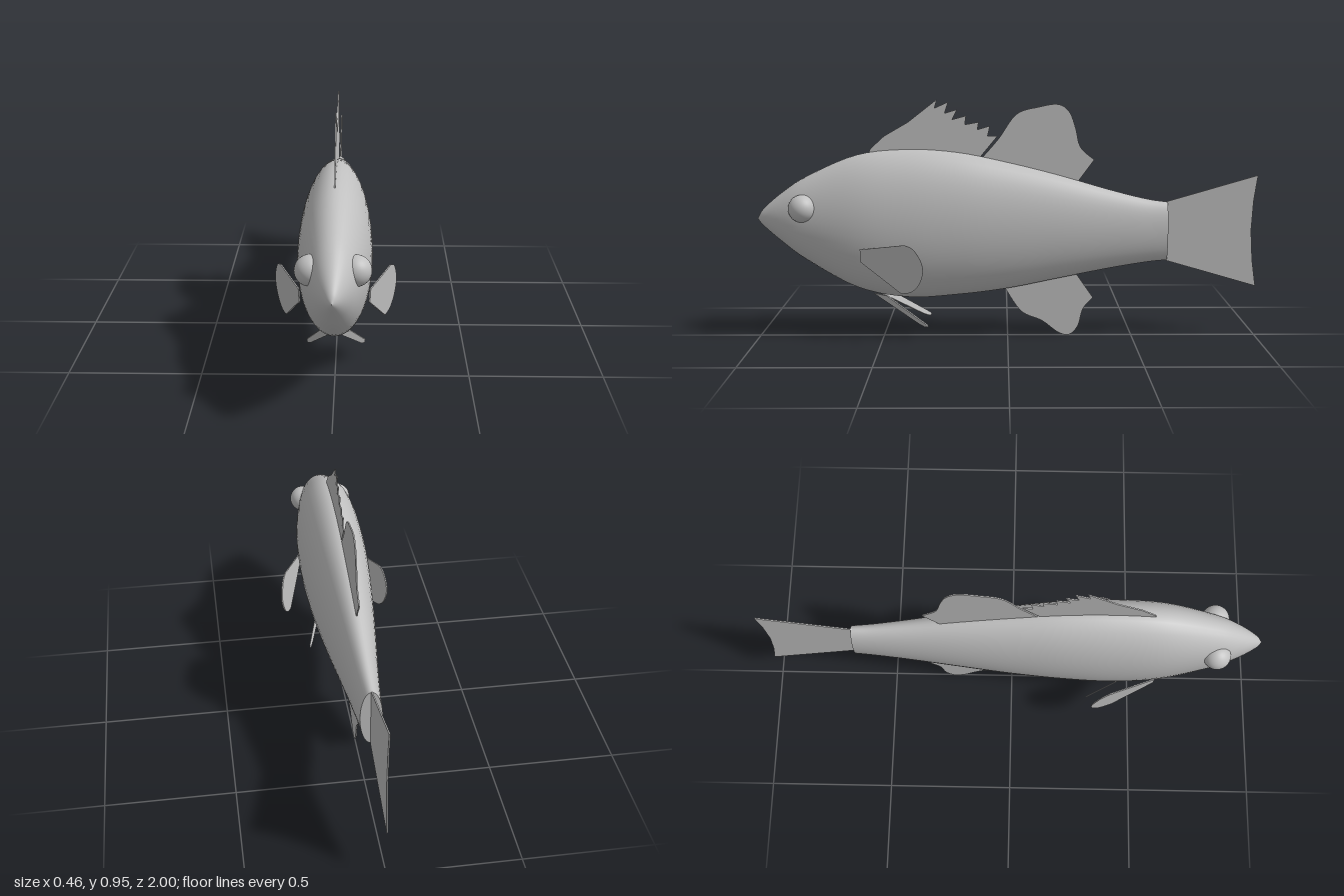
import * as THREE from 'three';

const grey = new THREE.MeshStandardMaterial({ color: 0xc0c0c0, side: THREE.DoubleSide });
grey.name = 'plain grey';

function add(parent, name, geometry) {
  const mesh = new THREE.Mesh(geometry, grey);
  mesh.name = name;
  parent.add(mesh);
  return mesh;
}

// Body stations: z, top, bottom, half width
const STATIONS = [
  [1.0, 0.48, 0.48, 0], [0.975, 0.52, 0.45, 0.025], [0.9, 0.585, 0.385, 0.064],
  [0.8, 0.65, 0.31, 0.096], [0.6, 0.735, 0.2, 0.131], [0.4, 0.757, 0.16, 0.138],
  [0.2, 0.745, 0.17, 0.13], [0, 0.705, 0.195, 0.112], [-0.2, 0.655, 0.235, 0.09],
  [-0.4, 0.597, 0.275, 0.066], [-0.55, 0.559, 0.3, 0.05], [-0.64, 0.545, 0.31, 0.042],
];

// Oval cross-sections lofted along a smooth curve through the stations
function bodyGeometry(rings = 55, sides = 40) {
  const curve = (f) => new THREE.CatmullRomCurve3(STATIONS.map(f), false, 'catmullrom', 0.5);
  const profile = curve((s) => new THREE.Vector3(s[0], s[1], s[2]));
  const width = curve((s) => new THREE.Vector3(s[3], 0, 0));
  const positions = [], index = [];
  for (let i = 0; i <= rings; i++) {
    const p = profile.getPoint(i / rings), w = width.getPoint(i / rings).x;
    for (let j = 0; j < sides; j++) {
      const a = (j / sides) * Math.PI * 2;
      positions.push(w * Math.sin(a), (p.y + p.z) / 2 + ((p.y - p.z) / 2) * Math.cos(a), p.x);
      if (i === rings) continue;
      const k = (j + 1) % sides, r = i * sides, s = r + sides;
      index.push(r + j, r + k, s + j, r + k, s + k, s + j);
    }
  }
  // Keep the winding outward
  for (let i = 0; i < index.length; i += 3) [index[i + 1], index[i + 2]] = [index[i + 2], index[i + 1]];
  const g = new THREE.BufferGeometry();
  g.setAttribute('position', new THREE.Float32BufferAttribute(positions, 3));
  g.setIndex(index);
  g.computeVertexNormals();
  return g;
}

// Thin plate from an outline; "curved" points are joined by a spline.
// place(u, v, w) moves each vertex, with w running across the thickness.
function finGeometry({ start, curved = [], straight = [] }, place) {
  const shape = new THREE.Shape();
  shape.moveTo(...start);
  if (curved.length) {
    shape.lineTo(...curved[0]);
    shape.splineThru(curved.slice(1).map((p) => new THREE.Vector2(...p)));
  }
  straight.forEach((p) => shape.lineTo(...p));
  const depth = 0.005;
  const g = new THREE.ExtrudeGeometry(shape, { depth, bevelEnabled: false, curveSegments: 5 });
  const pos = g.attributes.position;
  for (let i = 0; i < pos.count; i++) {
    pos.setXYZ(i, ...place(pos.getX(i), pos.getY(i), pos.getZ(i) - depth / 2));
  }
  g.computeVertexNormals();
  return g;
}

const upright = (z, y, w) => [-w, y, z];

// Outlines of the middle fins as (z, y)
const MIDDLE_FINS = {
  spinyDorsalFin: {
    start: [0.555, 0.735],
    straight: [[0.545, 0.76], [0.49, 0.81], [0.395, 0.865], [0.28, 0.955], [0.29, 0.92], [0.235, 0.945],
      [0.25, 0.9], [0.2, 0.915], [0.22, 0.875], [0.165, 0.89], [0.17, 0.855], [0.115, 0.865],
      [0.12, 0.835], [0.07, 0.85], [0.08, 0.81], [0.04, 0.81], [0.11, 0.725], [0.11, 0.68], [0.5, 0.7]],
  },
  softDorsalFin: {
    start: [0.1, 0.68],
    curved: [[0.1, 0.725], [0.035, 0.8], [-0.035, 0.896], [-0.125, 0.925], [-0.2, 0.935], [-0.245, 0.905],
      [-0.27, 0.84], [-0.29, 0.765], [-0.345, 0.715]],
    straight: [[-0.26, 0.6]],
  },
  analFin: {
    start: [0.01, 0.24],
    curved: [[0.01, 0.195], [-0.055, 0.1], [-0.14, 0.06], [-0.205, 0.012], [-0.25, 0.003], [-0.285, 0.04],
      [-0.305, 0.11], [-0.345, 0.155]],
    straight: [[-0.265, 0.27]],
  },
  tailFin: {
    start: [-0.63, 0.31],
    straight: [[-0.63, 0.545], [-1, 0.652], [-0.985, 0.55], [-0.978, 0.43], [-0.985, 0.31], [-1, 0.203]],
  },
};

export function createModel() {
  const fish = new THREE.Group();
  fish.name = 'fish';

  add(fish, 'body', bodyGeometry());

  // Flat end of the body at the tail root
  const cap = add(fish, 'tailRootCap', new THREE.CircleGeometry(1, 40));
  cap.scale.set(0.042, 0.1175, 1);
  cap.rotation.y = Math.PI;
  cap.position.set(0, 0.4275, -0.64);

  for (const [name, outline] of Object.entries(MIDDLE_FINS)) {
    add(fish, name, finGeometry(outline, upright));
  }

  // Paired parts
  for (const side of [1, -1]) {
    const label = side > 0 ? 'left' : 'right';

    const eye = add(fish, label + 'Eye', new THREE.SphereGeometry(0.055, 32, 20));
    eye.position.set(side * 0.078, 0.53, 0.81);

    // Pectoral fin, swept back and outward
    add(fish, label + 'PectoralFin', finGeometry({
      start: [0.58, 0.375],
      curved: [[0.4, 0.405], [0.365, 0.39], [0.335, 0.345], [0.328, 0.3], [0.345, 0.25], [0.375, 0.22], [0.415, 0.21]],
      straight: [[0.578, 0.325]],
    }, (z, y, w) => [side * (0.135 + (0.55 - z) * 0.41 + (y - 0.3) * 0.07 + w), y, z]));

    // Pelvic fin, a narrow blade under the belly
    add(fish, label + 'PelvicFin', finGeometry({
      start: [0.025, 0.18],
      straight: [[0.056, 0.175], [0.113, 0.07], [0.112, 0.06], [0.106, 0.058], [0.095, 0.07]],
    }, (x, y, w) => [side * x, y, 0.53 - 1.7 * (x - 0.025) + 0.6 * (y - 0.17) + w * 1.5]));
  }

  return fish;
}
